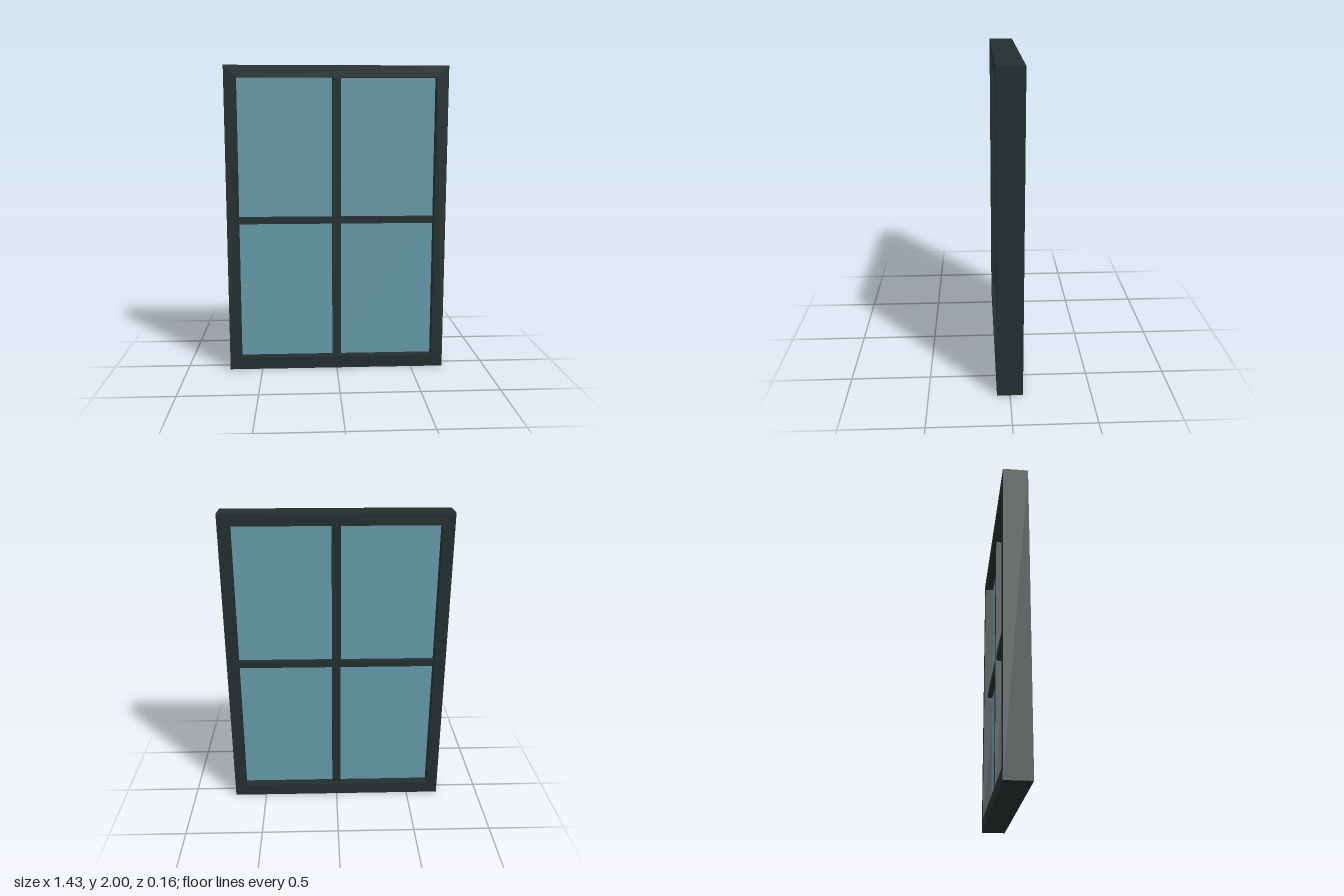
import * as THREE from 'three';

export function createModel() {
  const model = new THREE.Group();
  model.name = 'window';

  const frameMat = new THREE.MeshStandardMaterial({ color: 0x232f2f });
  frameMat.name = 'dark frame';
  const glassMat = new THREE.MeshStandardMaterial({ color: 0x669bac });
  glassMat.name = 'blue glass';

  const W = 1.43, H = 2, D = 0.16;      // overall size
  const border = 0.075;                 // frame width
  const midY = 1.005;                   // height of the horizontal bar
  const openW = W - 2 * border;
  const barW = 0.057, barH = 0.044;

  const add = (name, geometry, material, x = 0, y = 0, z = 0) => {
    const mesh = new THREE.Mesh(geometry, material);
    mesh.name = name;
    mesh.position.set(x, y, z);
    model.add(mesh);
  };
  const rect = (Type, x0, y0, x1, y1) => new Type([
    new THREE.Vector2(x0, y0), new THREE.Vector2(x1, y0),
    new THREE.Vector2(x1, y1), new THREE.Vector2(x0, y1),
  ]);

  // Outer frame with one rectangular opening
  const bottom = 0.08, top = 1.925;
  const outline = rect(THREE.Shape, -W / 2, 0, W / 2, H);
  outline.holes.push(rect(THREE.Path, -openW / 2, bottom, openW / 2, top));
  add('outerFrame', new THREE.ExtrudeGeometry(outline, { depth: D, bevelEnabled: false }),
    frameMat, 0, 0, -D / 2);

  // Crossing glazing bars, the upright one slightly deeper
  const openH = top - bottom;
  add('verticalBar', new THREE.BoxGeometry(barW, openH, 0.115), frameMat, 0, bottom + openH / 2);
  add('horizontalBar', new THREE.BoxGeometry(openW, barH, 0.105), frameMat, 0, midY);

  // Four glass panes
  const paneW = (openW - barW) / 2;
  const rows = [['lower', bottom, midY - barH / 2], ['upper', midY + barH / 2, top]];
  for (const [row, y0, y1] of rows) {
    for (const side of [-1, 1]) {
      add(`${row}${side > 0 ? 'Left' : 'Right'}Pane`, new THREE.BoxGeometry(paneW, y1 - y0, 0.04),
        glassMat, side * (barW + paneW) / 2, (y0 + y1) / 2);
    }
  }
  return model;
}
